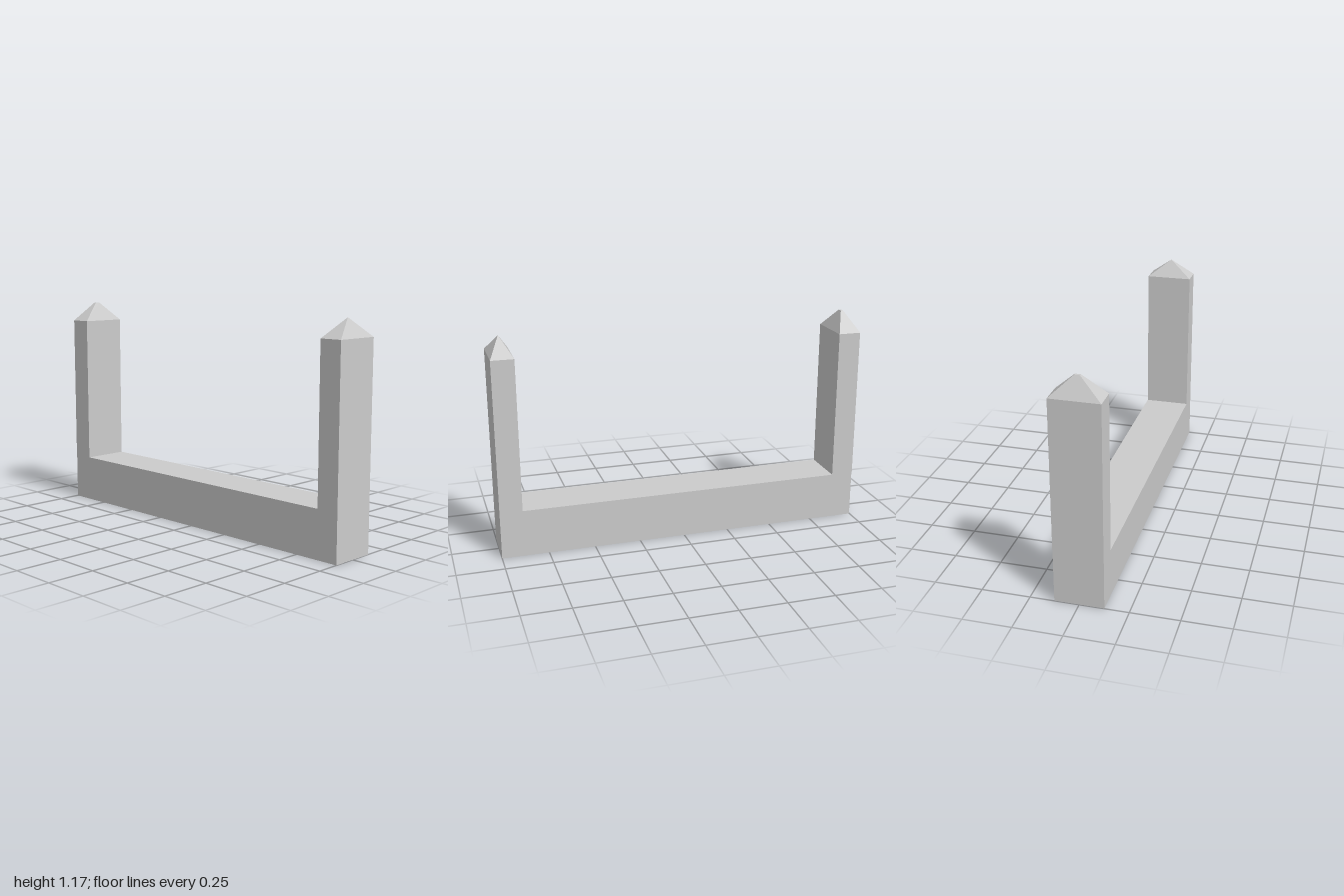
import * as THREE from 'three';

const WIDTH = 0.252;
const BEAM_TOP = 0.255;
const POST_TOP = 1.072;

const material = new THREE.MeshStandardMaterial({ color: 0xcccccc, flatShading: true });

function addMesh(parent, name, geometry, y, z) {
  const mesh = new THREE.Mesh(geometry, material);
  mesh.name = name;
  mesh.position.set(0, y, z);
  parent.add(mesh);
}

// Four-sided pyramid on a rectangular base; tip is the top size as a fraction of the base
function capGeometry(width, height, depth, tip) {
  return new THREE.CylinderGeometry(tip * Math.SQRT1_2, Math.SQRT1_2, height, 4)
    .rotateY(Math.PI / 4)
    .scale(width, 1, depth);
}

// Upright post with a pointed cap
function createPost(name, z, depth, capHeight, tip) {
  const post = new THREE.Group();
  post.name = name;
  const height = POST_TOP - BEAM_TOP;
  addMesh(post, 'shaft', new THREE.BoxGeometry(WIDTH, height, depth), BEAM_TOP + height / 2, z);
  addMesh(post, 'cap', capGeometry(WIDTH, capHeight, depth, tip), POST_TOP + capHeight / 2, z);
  return post;
}

export function createModel() {
  const model = new THREE.Group();
  model.name = 'postFrame';

  // Long beam lying on the ground
  addMesh(model, 'beam', new THREE.BoxGeometry(WIDTH, BEAM_TOP, 1.998), BEAM_TOP / 2, 0.001);

  // The front cap ends in a point, the back one in a small blunt tip
  model.add(createPost('frontPost', 0.94, 0.12, 0.096, 0));
  model.add(createPost('backPost', -0.939, 0.122, 0.103, 0.11));

  return model;
}
